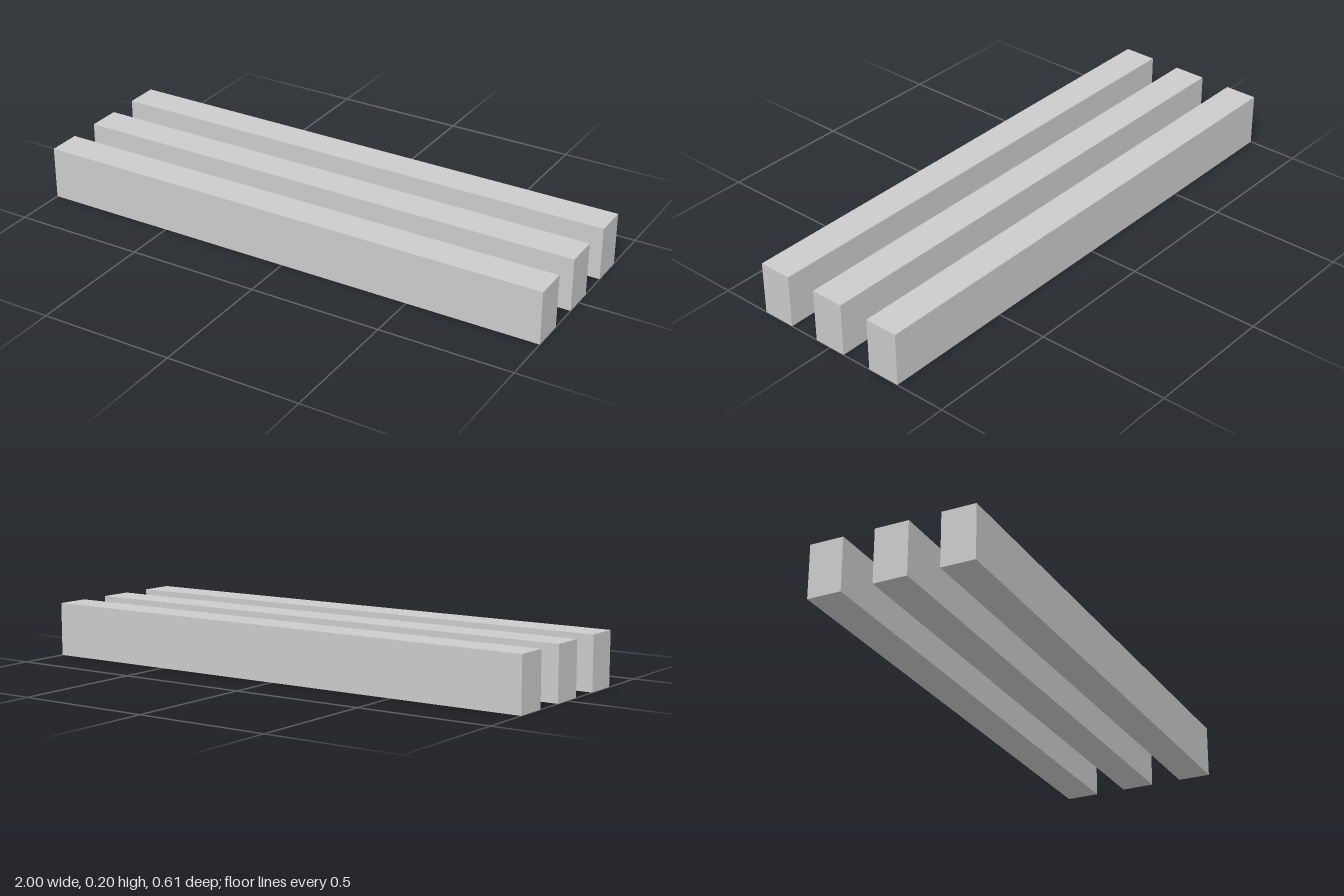
import * as THREE from 'three';

const LENGTH = 2, HEIGHT = 0.2, DEPTH = 0.126, SPACING = 0.244;

export function createModel() {
  const group = new THREE.Group();
  group.name = 'beams';
  const material = new THREE.MeshStandardMaterial({ color: 0xcccccc, flatShading: true });
  const geometry = new THREE.BoxGeometry(LENGTH, HEIGHT, DEPTH);

  // Three parallel beams, evenly spaced from back to front
  ['backBeam', 'middleBeam', 'frontBeam'].forEach((name, i) => {
    const beam = new THREE.Mesh(geometry, material);
    beam.name = name;
    beam.position.set(0, HEIGHT / 2, (i - 1) * SPACING);
    group.add(beam);
  });
  return group;
}
